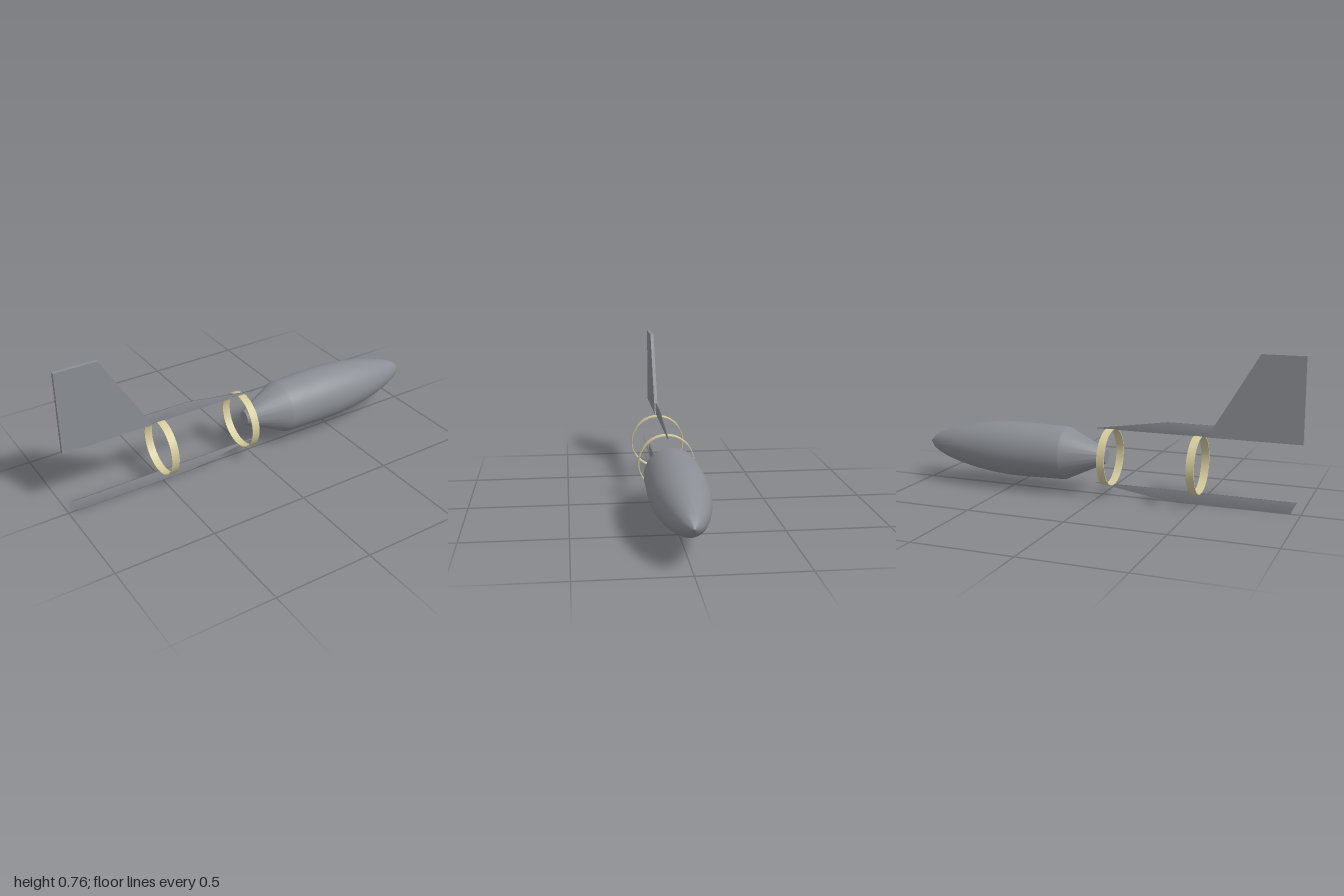
import * as THREE from 'three';
import { mergeVertices, toCreasedNormals } from 'three/addons/utils/BufferGeometryUtils.js';

const AXIS_Y = 0.2;

export function createModel() {
  const grey = new THREE.MeshStandardMaterial({ color: 0x8a8d93 });
  grey.name = 'metal grey';
  const cream = new THREE.MeshStandardMaterial({ color: 0xd3ca9c });
  cream.name = 'ring cream';

  const model = new THREE.Group();
  model.name = 'finnedPod';
  const add = (name, geometry, material) => {
    const mesh = new THREE.Mesh(geometry, material);
    mesh.name = name;
    model.add(mesh);
    return mesh;
  };

  // Turned shape along x, from [x, radius] pairs
  const turned = (profile) => new THREE.LatheGeometry(
    profile.map(([x, r]) => new THREE.Vector2(r, x)), 48)
    .rotateZ(-Math.PI / 2).translate(0, AXIS_Y, 0);

  // Flat plate in the xy plane, centred on z = 0
  const plate = (points, thickness) => new THREE.ExtrudeGeometry(
    new THREE.Shape(points.map(([x, y]) => new THREE.Vector2(x, y))),
    { depth: thickness, bevelEnabled: false }).translate(0, 0, -thickness / 2);

  // Pod: blunt tail cone, full middle, tapering nose
  add('body', toCreasedNormals(turned([
    [-0.02, 0], [-0.02, 0.036], [0.19, 0.134], [0.2, 0.136], [0.3, 0.138],
    [0.4, 0.141], [0.5, 0.141], [0.6, 0.134], [0.7, 0.121], [0.8, 0.1],
    [0.88, 0.077], [0.94, 0.051], [0.965, 0.036], [1, 0],
  ]), 0.7), grey);

  // Two thin bands
  for (const [name, x] of [['rearRing', -0.495], ['frontRing', -0.04]]) {
    const h = 0.02, outer = 0.144, inner = 0.14;
    add(name, toCreasedNormals(turned([
      [x - h, outer], [x + h, outer], [x + h, inner], [x - h, inner], [x - h, outer],
    ]), 0.6), cream);
  }

  // Slim strakes with softened edges
  const strake = (points) => {
    const g = plate(points, 0.006);
    g.deleteAttribute('normal');
    g.deleteAttribute('uv');
    const soft = mergeVertices(g);
    soft.computeVertexNormals();
    return soft;
  };
  add('upperStrake', strake([
    [-0.58, 0.342], [0.04, 0.342], [-0.34, 0.4], [-0.58, 0.4],
  ]), grey);
  add('lowerStrake', strake([
    [-0.98, 0.06], [-0.95, 0.002], [-0.34, 0.002], [0.04, 0.06],
  ]), grey);

  // Upright tail fin
  add('tailFin', plate([
    [-1, 0.342], [-0.54, 0.342], [-0.79, 0.757], [-1, 0.757],
  ], 0.018), grey);

  return model;
}
